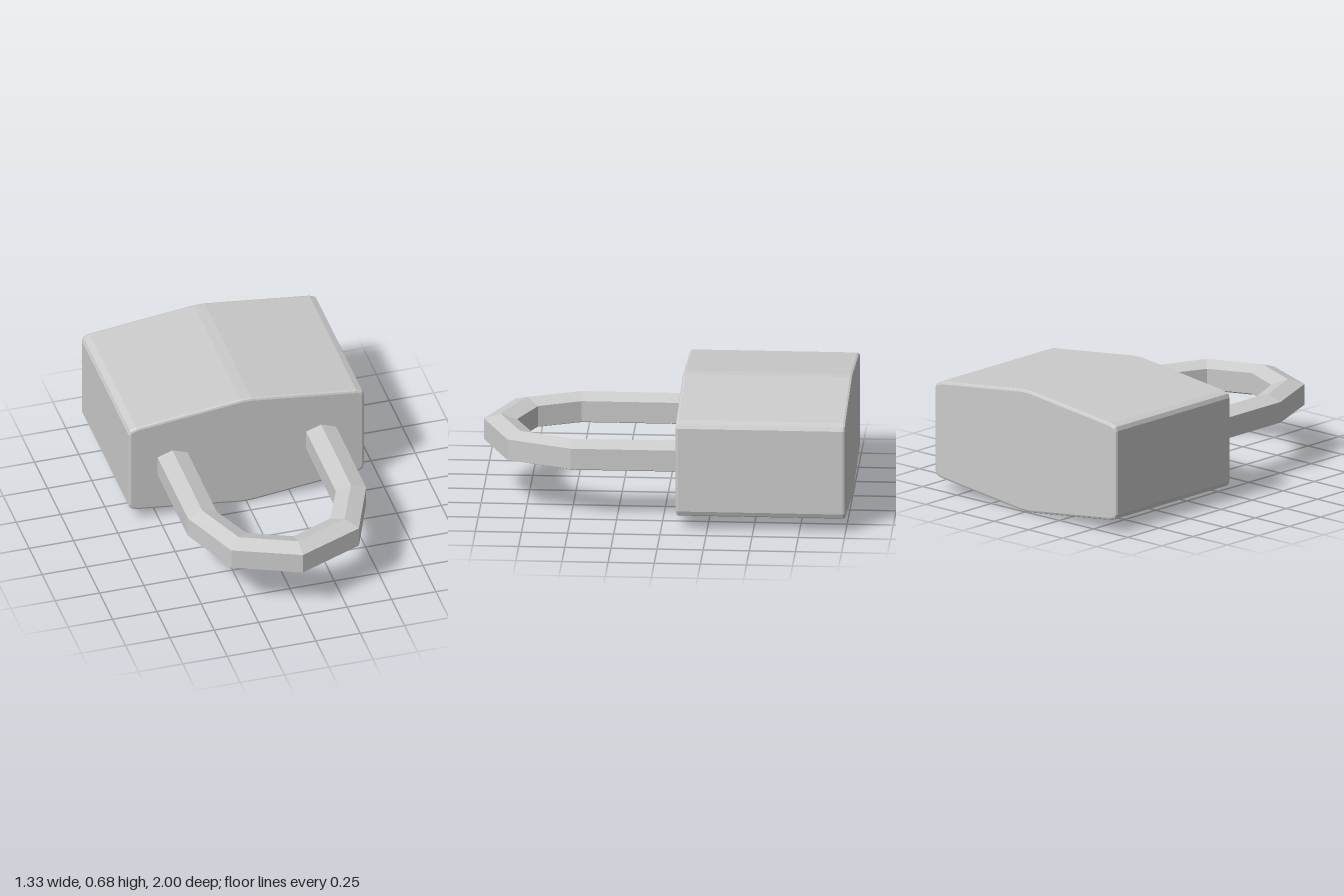
import * as THREE from 'three';

const material = new THREE.MeshStandardMaterial({ color: 0xcccccc, flatShading: true, side: THREE.DoubleSide });
const MID_Y = 0.342;

// Six-sided block with softened corners, extruded along z with a fine bevel
function makeBody() {
  const quarter = [[0.664, 0.235], [0.655, 0.258], [0.62, 0.272], [0.03, 0.342]];
  const flip = (sx, sy) => quarter.map(([x, y]) => new THREE.Vector2(sx * x, sy * y));
  const outline = [
    ...flip(1, 1), ...flip(-1, 1).reverse(),
    ...flip(-1, -1), ...flip(1, -1).reverse(),
  ];
  const bevel = 0.014;
  const geometry = new THREE.ExtrudeGeometry(new THREE.Shape(outline), {
    depth: 0.92 - 2 * bevel, bevelEnabled: true, bevelThickness: bevel,
    bevelSize: bevel, bevelOffset: -bevel, bevelSegments: 2,
  });
  geometry.translate(0, MID_Y, -1 + bevel);
  const mesh = new THREE.Mesh(geometry, material);
  mesh.name = 'lockBody';
  return mesh;
}

// Faceted bow: a hexagonal section carried between outer and inner outlines
function makeShackle() {
  // each station: outer x, outer z, inner x, inner z
  const side = [
    [0.503, -0.12, 0.335, -0.12],
    [0.503, 0.5, 0.335, 0.49],
    [0.36, 0.85, 0.235, 0.72],
  ];
  const stations = [
    ...side, [0, 1, 0, 0.82],
    ...side.map(([ox, oz, ix, iz]) => [-ox, oz, -ix, iz]).reverse(),
  ];
  const section = [[1, -0.058], [1, 0.058], [0, 0.088], [-1, 0.058], [-1, -0.058], [0, -0.088]];
  const n = section.length;
  const positions = [], indices = [];
  stations.forEach(([ox, oz, ix, iz], i) => {
    section.forEach(([u, v], j) => {
      const t = (1 + u) / 2;
      positions.push(ix + (ox - ix) * t, MID_Y + v, iz + (oz - iz) * t);
      if (i === 0) return;
      const a = (i - 1) * n + j, b = (i - 1) * n + (j + 1) % n;
      indices.push(a, b, a + n, b, b + n, a + n);
    });
  });
  // end caps, seated inside the body
  const last = (stations.length - 1) * n;
  for (let j = 1; j < n - 1; j++) {
    indices.push(0, j + 1, j, last, last + j, last + j + 1);
  }
  const geometry = new THREE.BufferGeometry();
  geometry.setAttribute('position', new THREE.Float32BufferAttribute(positions, 3));
  // wind the faces outwards
  for (let k = 0; k < indices.length; k += 3) {
    [indices[k + 1], indices[k + 2]] = [indices[k + 2], indices[k + 1]];
  }
  geometry.setIndex(indices);
  const flat = geometry.toNonIndexed();
  flat.computeVertexNormals();
  const mesh = new THREE.Mesh(flat, material);
  mesh.name = 'shackle';
  return mesh;
}

export function createModel() {
  const group = new THREE.Group();
  group.name = 'padlock';
  group.add(makeBody(), makeShackle());
  return group;
}
